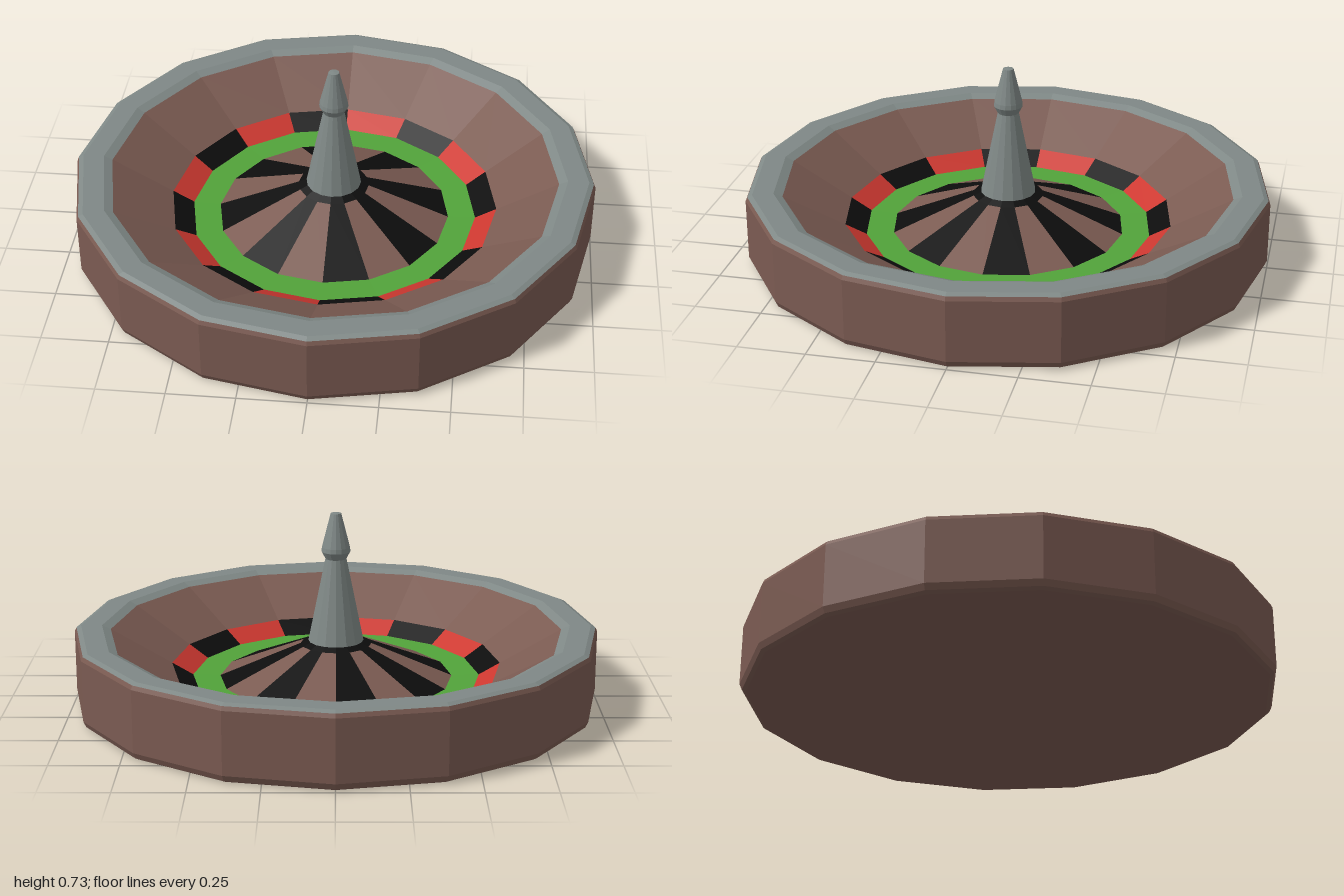
import * as THREE from 'three';

const SIDES = 16;
const STEP = (Math.PI * 2) / SIDES;

const material = (name, color) => {
  const m = new THREE.MeshStandardMaterial({ color });
  m.name = name;
  return m;
};

// Faceted ring or sector swept from a [radius, height] profile
function facetedLathe(profile, start = 0, count = SIDES) {
  const points = profile.map(([r, y]) => new THREE.Vector2(r, y));
  const geometry = new THREE.LatheGeometry(points, count, start * STEP, count * STEP).toNonIndexed();
  geometry.computeVertexNormals();
  return geometry;
}

export function createModel() {
  const wood = material('brown wood', 0x7b5b52);
  const metal = material('grey metal', 0x7f8886);
  const red = material('red', 0xcd3830);
  const black = material('black', 0x0d0d0d);
  const green = material('green', 0x52a33a);

  const model = new THREE.Group();
  model.name = 'rouletteWheel';
  const add = (name, profile, mat, parent = model, start, count) => {
    const mesh = new THREE.Mesh(facetedLathe(profile, start, count), mat);
    mesh.name = name;
    parent.add(mesh);
  };

  // Outer bowl: underside, wall and sloping inside
  add('bowlOuter', [[0, 0], [0.975, 0], [0.99, 0.008], [1, 0.03], [1, 0.262], [0.993, 0.277]], wood);
  add('rim', [[0.993, 0.277], [0.975, 0.285], [0.895, 0.285], [0.862, 0.27]], metal);
  add('bowlInner', [[0.862, 0.27], [0.63, 0.135]], wood);

  // Alternating pockets and the matching spokes of the centre cone
  const pockets = new THREE.Group();
  pockets.name = 'pockets';
  const cone = new THREE.Group();
  cone.name = 'spokedCone';
  model.add(pockets, cone);
  for (let i = 0; i < SIDES; i++) {
    const odd = i % 2 === 1;
    add('pocket', [[0.63, 0.135], [0.55, 0.088]], odd ? red : black, pockets, i, 1);
    add('spoke', [[0.445, 0.085], [0.135, 0.215]], odd ? wood : black, cone, i, 1);
  }
  add('greenRing', [[0.55, 0.088], [0.445, 0.085]], green);
  add('hub', [[0.135, 0.215], [0.09, 0.235]], black);

  // Central spindle with a pointed finial
  add('spindle', [
    [0.106, 0.225], [0.04, 0.55], [0.055, 0.578], [0.053, 0.595], [0.02, 0.725], [0, 0.727],
  ], metal);

  return model;
}
